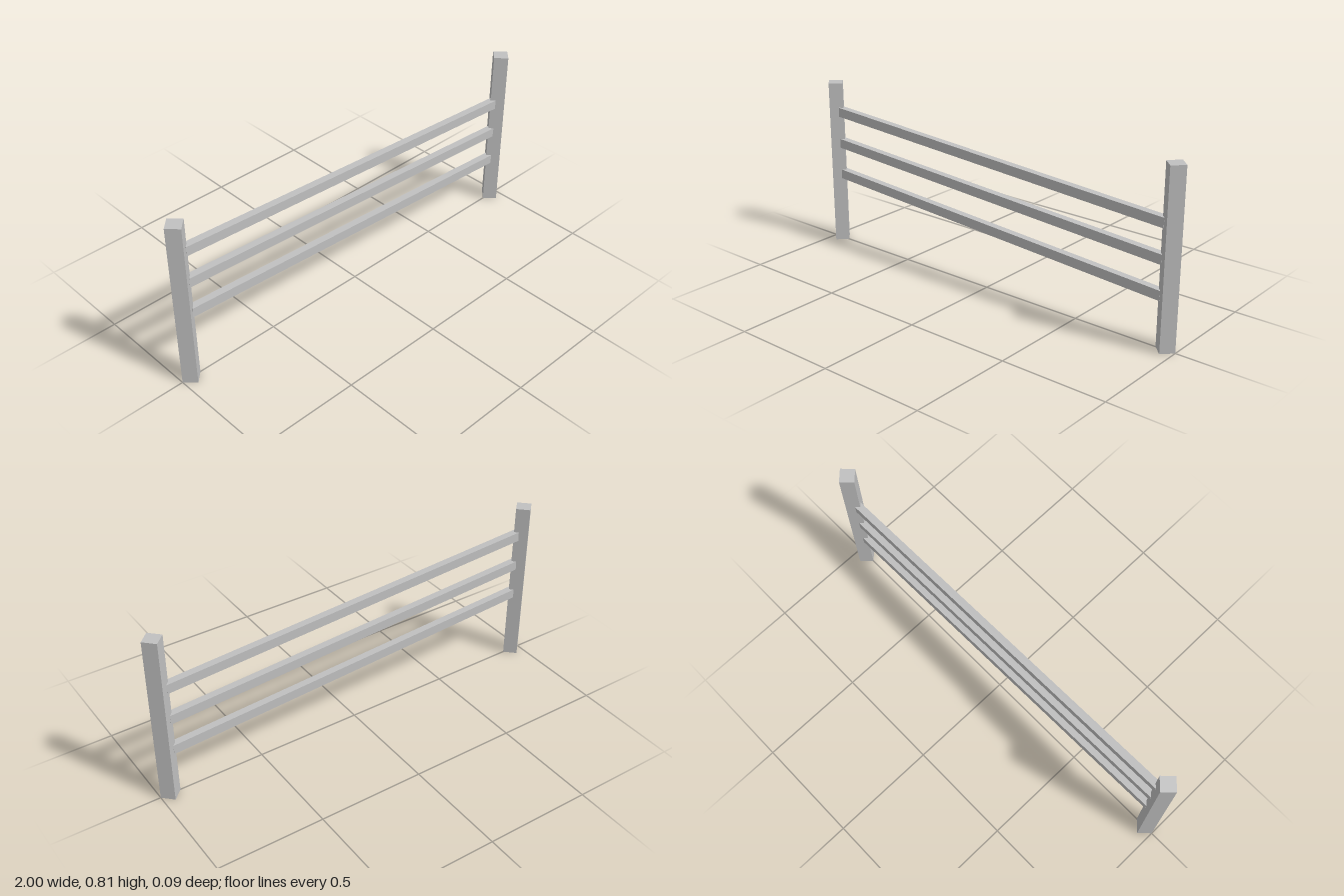
import * as THREE from 'three';

const POST_X = 0.953, POST_HEIGHT = 0.81, POST_SIDE = 0.094 / Math.SQRT2;
const RAIL_HALF = 0.922, RAIL_DROP = 0.11, RAIL_HEIGHT = 0.045, RAIL_DEPTH = 0.034;

export function createModel() {
  const group = new THREE.Group();
  const grey = new THREE.MeshStandardMaterial({ name: 'grey', color: 0xc0c0c0 });

  const add = (name, geometry, x, y) => {
    const mesh = new THREE.Mesh(geometry, grey);
    mesh.name = name;
    mesh.position.set(x, y, 0);
    group.add(mesh);
    return mesh;
  };

  // Square posts turned corner-on
  const postGeometry = new THREE.BoxGeometry(POST_SIDE, POST_HEIGHT, POST_SIDE);
  for (const [name, side] of [['leftPost', 1], ['rightPost', -1]]) {
    add(name, postGeometry, side * POST_X, POST_HEIGHT / 2).rotation.y = Math.PI / 4;
  }

  // Three parallel rails sloping down towards the left post
  const length = Math.hypot(2 * RAIL_HALF, RAIL_DROP);
  const railGeometry = new THREE.BoxGeometry(length, RAIL_HEIGHT, RAIL_DEPTH);
  [['lowerRail', 0.295], ['middleRail', 0.453], ['upperRail', 0.611]].forEach(([name, y]) => {
    add(name, railGeometry, 0, y).rotation.z = -Math.atan2(RAIL_DROP, 2 * RAIL_HALF);
  });

  return group;
}
